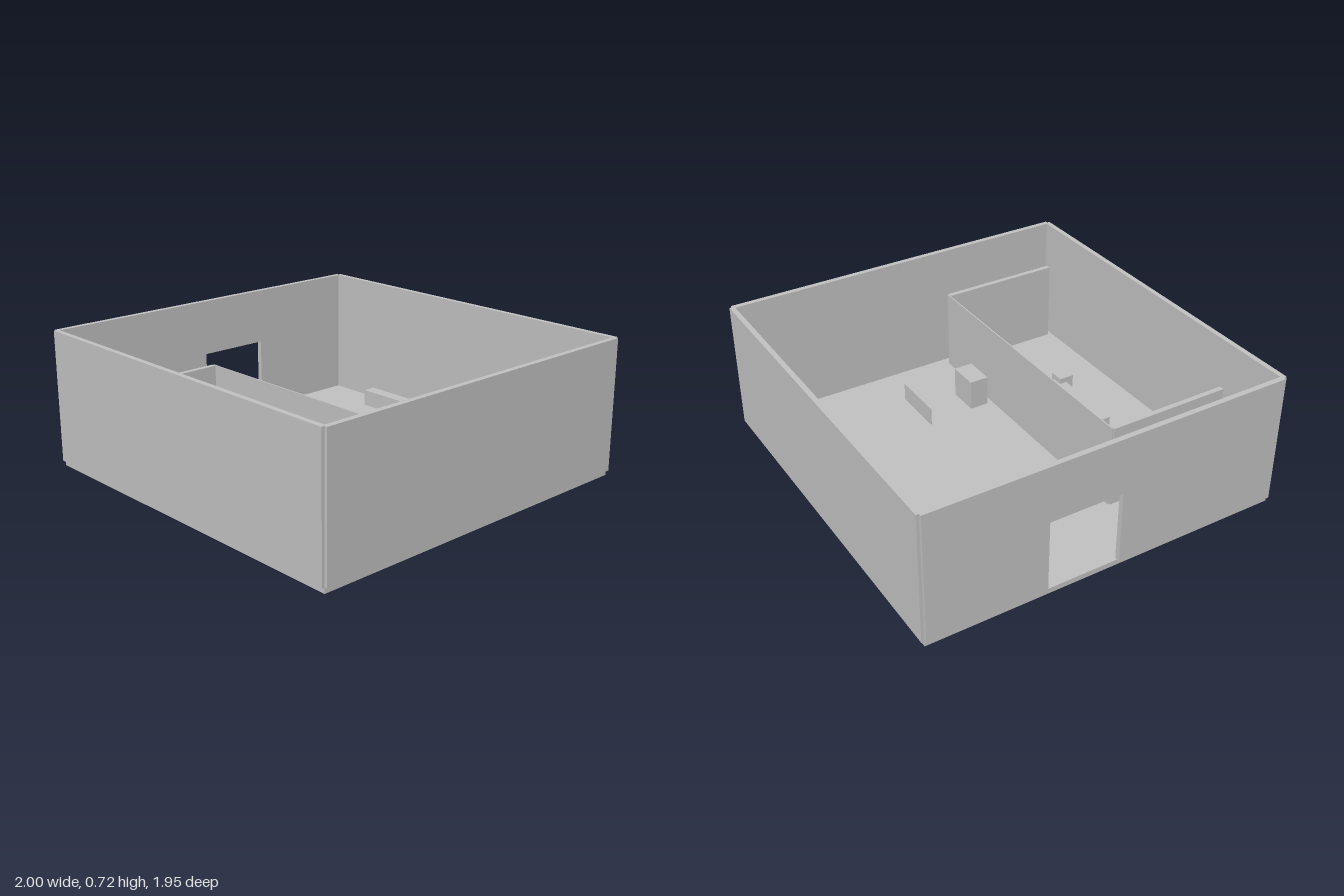
import * as THREE from 'three';

export function createModel() {
  const group = new THREE.Group();
  const grey = new THREE.MeshStandardMaterial({ color: 0xc0c0c0 });
  grey.name = 'plain grey';

  const FLOOR = 0.028; // top of the floor slab
  const TOP = 0.717; // top of the outer walls

  const add = (name, geometry) => {
    const mesh = new THREE.Mesh(geometry, grey);
    mesh.name = name;
    group.add(mesh);
  };

  // Box given by its minimum and maximum on each axis
  const box = (name, x0, x1, y0, y1, z0, z1) => {
    const g = new THREE.BoxGeometry(x1 - x0, y1 - y0, z1 - z0);
    g.translate((x0 + x1) / 2, (y0 + y1) / 2, (z0 + z1) / 2);
    add(name, g);
  };

  // Floor slab
  box('floor', -0.985, 0.985, 0, FLOOR, -0.96, 0.96);

  // Outer walls, set slightly outside the slab so the corners are notched
  box('frontWall', -0.985, 0.985, FLOOR, TOP, 0.948, 0.975);
  box('backWall', -0.985, 0.985, FLOOR, TOP, -0.975, -0.948);
  box('leftWall', 0.972, 1, FLOOR, TOP, -0.96, 0.96);

  // Right wall with a doorway; the outline runs along -z
  const outline = new THREE.Shape([
    [-0.96, FLOOR], [-0.05, FLOOR], [-0.05, 0.42], [0.34, 0.42],
    [0.34, FLOOR], [0.96, FLOOR], [0.96, TOP], [-0.96, TOP],
  ].map(([u, y]) => new THREE.Vector2(u, y)));
  const doorWall = new THREE.ExtrudeGeometry(outline, { depth: 0.028, bevelEnabled: false });
  doorWall.rotateY(Math.PI / 2).translate(-1, 0, 0);
  add('rightWallWithDoorway', doorWall);

  // Inner room: thin rear partition and two side partitions
  box('rearPartition', -0.63, 0.92, FLOOR, 0.475, 0.255, 0.262);
  box('rightPartition', -0.637, -0.61, FLOOR, 0.475, 0.265, 0.925);
  box('leftPartition', 0.898, 0.925, FLOOR, 0.475, 0.265, 0.925);

  // Pairs of low benches and thin panels in the main hall
  for (const x of [-0.59, 0.272]) box('bench', x, x + 0.29, FLOOR, 0.118, -0.87, -0.8);
  for (const x of [-0.66, 0.427]) box('thinPanel', x, x + 0.29, FLOOR, 0.13, -0.141, -0.135);

  // Cabinet behind the partition, table and stool inside the room
  box('cabinet', 0.445, 0.615, FLOOR, 0.195, 0.12, 0.225);
  box('table', -0.172, 0.283, FLOOR, 0.16, 0.45, 0.595);
  box('stool', 0.228, 0.31, FLOOR, 0.19, 0.555, 0.637);

  return group;
}
